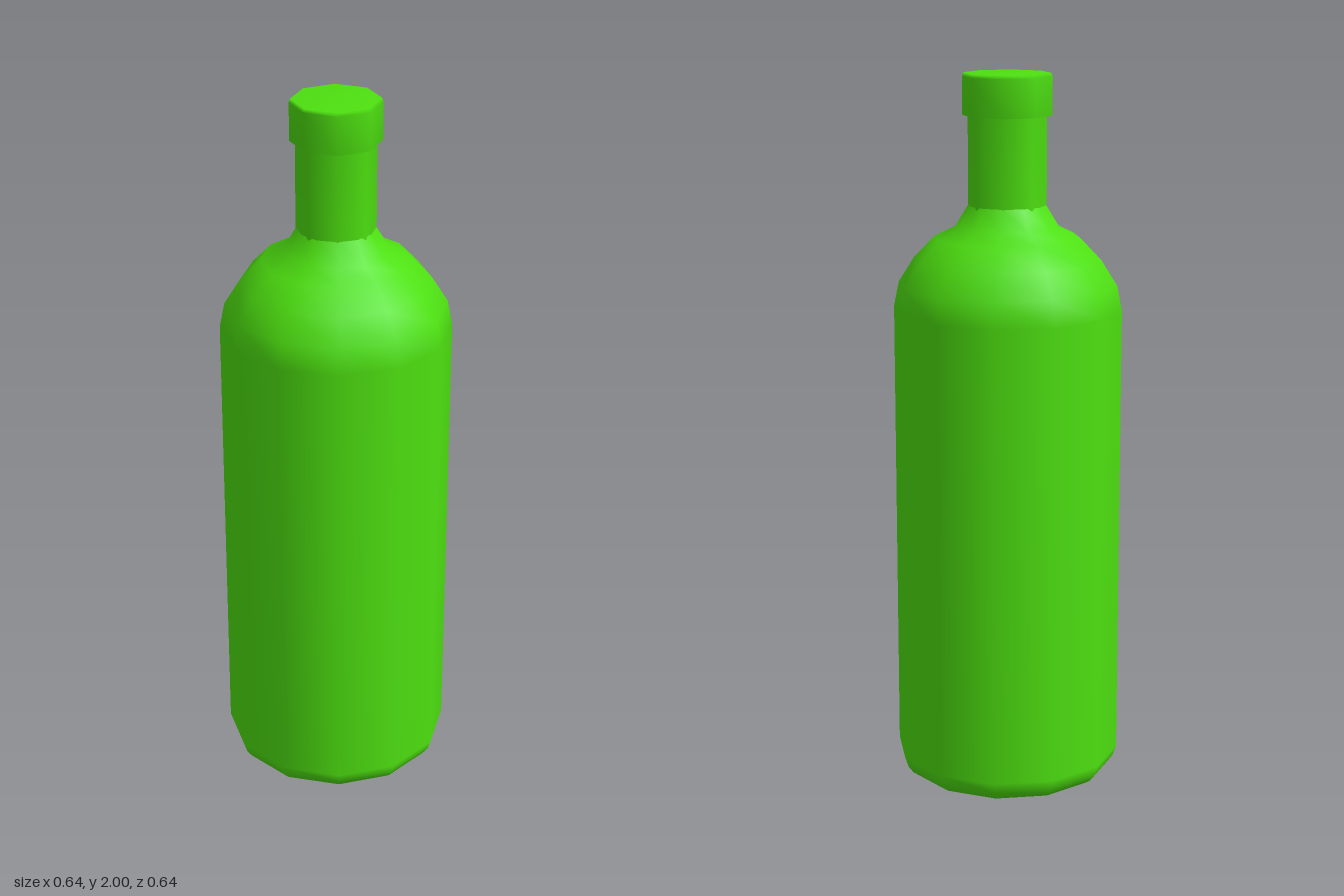
import * as THREE from 'three';

const glass = new THREE.MeshStandardMaterial({ color: 0x4de010 });
glass.name = 'greenGlass';

// Smooth turned part from [radius, height] pairs listed bottom to top
function turned(name, profile, sides, twist) {
  const points = profile.map(([r, y]) => new THREE.Vector2(r, y));
  const mesh = new THREE.Mesh(new THREE.LatheGeometry(points, sides, twist), glass);
  mesh.name = name;
  return mesh;
}

export function createModel() {
  const bottle = new THREE.Group();
  bottle.name = 'bottle';

  // Body: rounded base, straight wall, round shoulder and flare up to the neck
  bottle.add(turned('body', [
    [0, 0], [0.28, 0], [0.295, 0.01], [0.31, 0.03], [0.32, 0.06],
    [0.32, 1.35], [0.306, 1.42], [0.262, 1.49], [0.204, 1.55],
    [0.145, 1.58], [0.108, 1.64],
  ], 12, -0.03));

  // Neck with the wider lip and closed top
  bottle.add(turned('neckAndLip', [
    [0.109, 1.58], [0.109, 1.885], [0.124, 1.885],
    [0.124, 1.99], [0.12, 2], [0, 2],
  ], 8, -0.025));

  return bottle;
}
